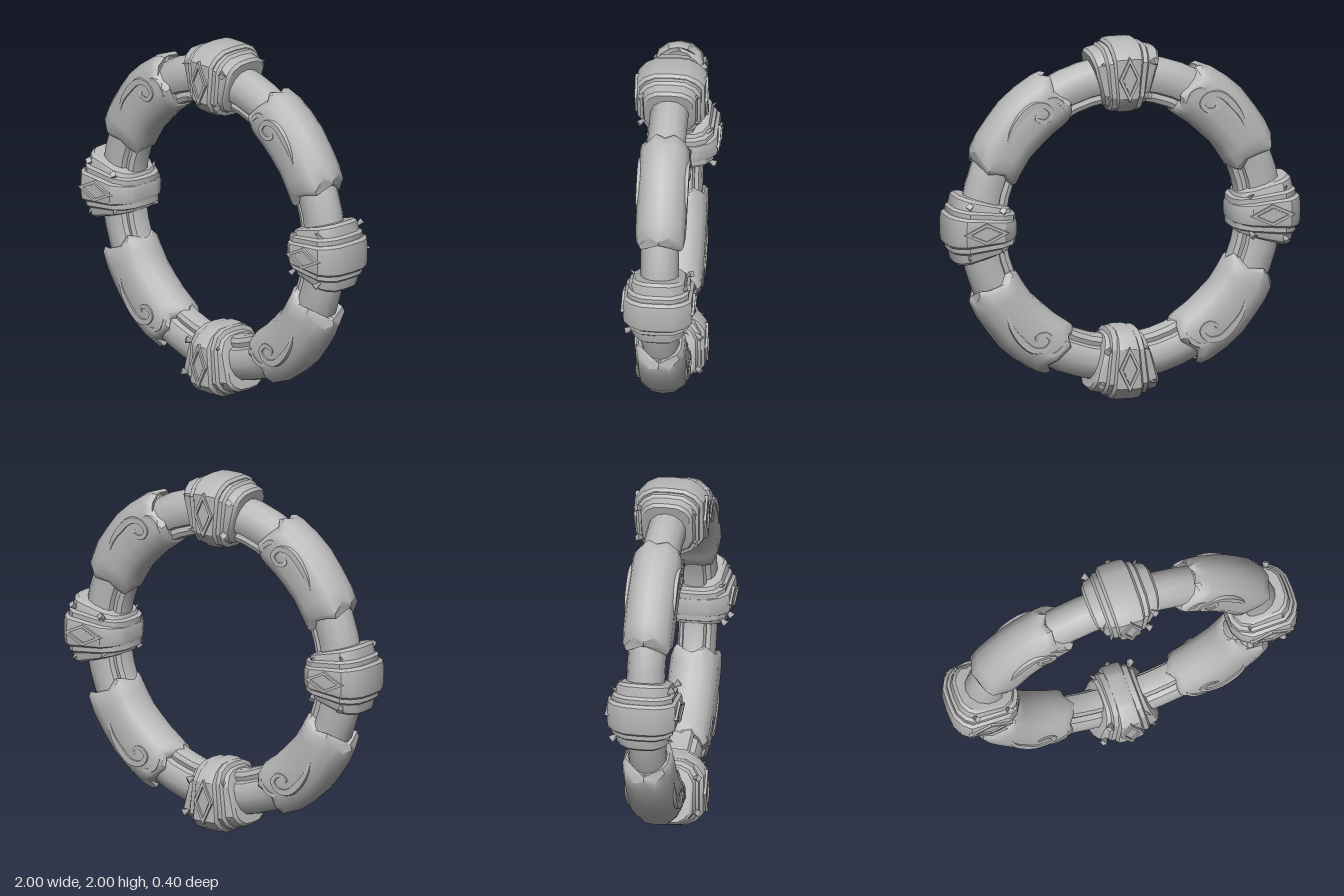
import * as THREE from 'three';
import { toCreasedNormals } from 'three/addons/utils/BufferGeometryUtils.js';

const V = (x, y, z) => new THREE.Vector3(x, y, z);
const stone = new THREE.MeshStandardMaterial({ color: 0xb8b8b8 });
stone.name = 'grey stone';

// Skin a list of closed loops; the ends are capped unless the sweep is closed.
function loft(rings, closed = false, crease = 0.6) {
  const n = rings[0].length, m = rings.length, index = [];
  for (let i = 0; i < (closed ? m : m - 1); i++) {
    for (let j = 0; j < n; j++) {
      const i2 = (i + 1) % m, k = (j + 1) % n;
      const a = i * n + j, b = i * n + k, c = i2 * n + k, d = i2 * n + j;
      index.push(a, d, c, a, c, b);
    }
  }
  if (!closed) {
    const e = (m - 1) * n;
    for (let j = 1; j < n - 1; j++) index.push(0, j, j + 1, e, e + j + 1, e + j);
  }
  const g = new THREE.BufferGeometry();
  g.setAttribute('position', new THREE.Float32BufferAttribute(rings.flat().flatMap(p => p.toArray()), 3));
  g.setIndex(index);
  return toCreasedNormals(g, crease);
}

// Complete a half section [r, z] (outer to inner) by mirroring it in z.
const fullSection = half => [...half, ...half.slice().reverse().filter(p => p[1] > 0).map(([r, z]) => [r, -z])];
const polar = (r, deg, z) => V(r * Math.cos(deg * Math.PI / 180), r * Math.sin(deg * Math.PI / 180), z);

function add(parent, name, geometry) {
  const mesh = new THREE.Mesh(geometry, stone);
  mesh.name = name;
  parent.add(mesh);
  return mesh;
}

// Main hoop with a stepped groove on its inner edge
function hoopGeometry() {
  const section = fullSection([[0.91, 0], [0.9, 0.045], [0.865, 0.085], [0.81, 0.105], [0.755, 0.1],
    [0.725, 0.085], [0.715, 0.058], [0.69, 0.066], [0.665, 0.055], [0.655, 0.025], [0.655, 0]]);
  const rings = [];
  for (let i = 0; i < 48; i++) rings.push(section.map(([r, z]) => polar(r, i * 7.5, z)));
  return loft(rings, true);
}

// Thick sleeve around the hoop with uneven ends
function sleeveGeometry() {
  const section = fullSection([[0.96, 0], [0.95, 0.06], [0.91, 0.115], [0.85, 0.135], [0.74, 0.135],
    [0.68, 0.11], [0.645, 0.06], [0.635, 0]]);
  const stations = [[23, 0.84], [24.5, 0.95], [30, 0.98], [37, 0.98], [45, 1.03], [52, 1.02], [59, 1], [62, 0.95], [63.5, 0.82]];
  return loft(stations.map(([deg, s]) => section.map(([r, z], j) => {
    const ragged = Math.sin(j * 2.1) * 1.8 * Math.abs(deg - 43) / 20;
    const lean = (0.8 - r) * 10 * (deg - 43) / 20;
    return polar(0.795 + (r - 0.795) * s, deg + ragged + lean, z * Math.min(1, s + 0.02));
  })), false, 0.7);
}

// Tapered raised ridge along a flat path of [x, y, halfWidth]
function ridgeGeometry(points, base, height) {
  const path = new THREE.CatmullRomCurve3(points.map(([x, y]) => V(x, y, 0)));
  const steps = (points.length - 1) * 3, rings = [];
  for (let i = 0; i <= steps; i++) {
    const t = i / steps, f = t * (points.length - 1), k = Math.min(Math.floor(f), points.length - 2);
    const w = THREE.MathUtils.lerp(points[k][2], points[k + 1][2], f - k);
    const p = path.getPoint(t), d = path.getTangent(t), side = V(-d.y, d.x, 0);
    const top = base + height * Math.min(1, w / 0.02);
    const at = (s, z) => p.clone().addScaledVector(side, s * w).setZ(z);
    rings.push([at(-1, base - 0.03), at(-0.6, top), at(0.6, top), at(1, base - 0.03)]);
  }
  return loft(rings, false, 0.7);
}

const scroll = [[0.68, 1.45, 0.004], [0.655, 1.54, 0.018], [0.6, 1.62, 0.03], [0.53, 1.68, 0.028], [0.46, 1.68, 0.024],
  [0.425, 1.635, 0.022], [0.46, 1.595, 0.02], [0.51, 1.61, 0.017], [0.505, 1.64, 0.008]].map(([x, y, w]) => [x, y - 1, w]);
const leaf = [[0.5, 0.69, 0.004], [0.42, 0.715, 0.018], [0.37, 0.69, 0.02], [0.34, 0.64, 0.004]];

function createSleeve() {
  const sleeve = new THREE.Group();
  sleeve.name = 'sleeve';
  add(sleeve, 'sleeveBody', sleeveGeometry());
  for (const [name, path, height] of [['scrollOrnament', scroll, 0.012], ['leafOrnament', leaf, 0.008]]) {
    add(sleeve, name, ridgeGeometry(path, 0.13, height));
    // The back ornament is the same path swapped across the 45 degree diagonal by a half turn
    const back = add(sleeve, name + 'Back', ridgeGeometry(path.map(([x, y, w]) => [y, x, w]), 0.13, height));
    back.rotation.set(Math.PI, 0, Math.PI / 2);
  }
  return sleeve;
}

// Band across the hoop at angle zero; it widens from its inner to its outer edge
function bandGeometry(half, inner, outer, columns) {
  const section = fullSection(half);
  return loft(columns.map(([s, k]) => section.map(([r, z]) => {
    const w = THREE.MathUtils.mapLinear(r, 0.6, 1, inner, outer);
    return V(0.8 + (r - 0.8) * k, s * w, z * k);
  })), false, 0.5);
}

function diamondShape(a, b) {
  return new THREE.Shape([[a, 0], [0, b], [-a, 0], [0, -b]].map(p => new THREE.Vector2(...p)));
}

function createClamp() {
  const clamp = new THREE.Group();
  clamp.name = 'clamp';
  const core = [[1, 0], [0.995, 0.09], [0.965, 0.15], [0.92, 0.188], [0.7, 0.188], [0.645, 0.15], [0.61, 0.09], [0.605, 0]];
  const collar = [[0.965, 0], [0.96, 0.08], [0.93, 0.13], [0.89, 0.158], [0.71, 0.155], [0.65, 0.12], [0.625, 0.07], [0.62, 0]];
  add(clamp, 'centreBand', bandGeometry(core, 0.055, 0.092, [[-1, 0.9], [-0.85, 0.98], [-0.5, 1], [0.5, 1], [0.85, 0.98], [1, 0.9]]));
  add(clamp, 'middleBand', bandGeometry(collar, 0.085, 0.135, [[-1, 0.96], [-0.9, 1.06], [0.9, 1.06], [1, 0.96]]));
  add(clamp, 'outerCollar', bandGeometry(collar, 0.11, 0.205, [[-1, 0.8], [-0.93, 0.9], [-0.6, 0.98], [0.6, 0.98], [0.93, 0.9], [1, 0.8]]));

  for (const face of [1, -1]) {
    // Diamond frame and its inset stone
    const frame = diamondShape(0.125, 0.06);
    frame.holes.push(diamondShape(0.09, 0.042));
    const setting = new THREE.Group();
    setting.name = 'diamondSetting';
    add(setting, 'diamondFrame', new THREE.ExtrudeGeometry(frame, { depth: 0.02, bevelEnabled: false })).position.z = 0.18;
    add(setting, 'diamondInset', new THREE.ExtrudeGeometry(diamondShape(0.08, 0.036), { depth: 0.013, bevelEnabled: false })).position.z = 0.18;
    for (const c of setting.children) c.position.x = 0.81;
    if (face < 0) setting.rotation.x = Math.PI;
    clamp.add(setting);

    // Small pointed studs beside the bands
    for (const side of [1, -1]) {
      for (const [r, t] of [[0.89, 0.135], [0.7, 0.1]]) {
        const stud = add(clamp, 'stud', new THREE.ConeGeometry(0.022, 0.07, 4));
        stud.position.set(r, side * t, face * 0.145);
        stud.rotation.set(side * face * 0.9 + (face < 0 ? Math.PI : 0), 0, side * 0.3);
      }
    }
  }
  return clamp;
}

export function createModel() {
  const model = new THREE.Group();
  model.name = 'ornateRing';
  const ring = new THREE.Group();
  ring.name = 'ring';
  ring.position.y = 1;
  model.add(ring);

  add(ring, 'hoop', hoopGeometry());
  for (let i = 0; i < 4; i++) {
    const clamp = createClamp();
    clamp.rotation.z = i * Math.PI / 2;
    ring.add(clamp);
  }
  // One sleeve per quarter, mirrored by half turns
  for (const turn of [[0, 0, 0], [Math.PI, 0, 0], [0, Math.PI, 0], [0, 0, Math.PI]]) {
    const sleeve = createSleeve();
    sleeve.rotation.set(...turn);
    ring.add(sleeve);
  }
  return model;
}
